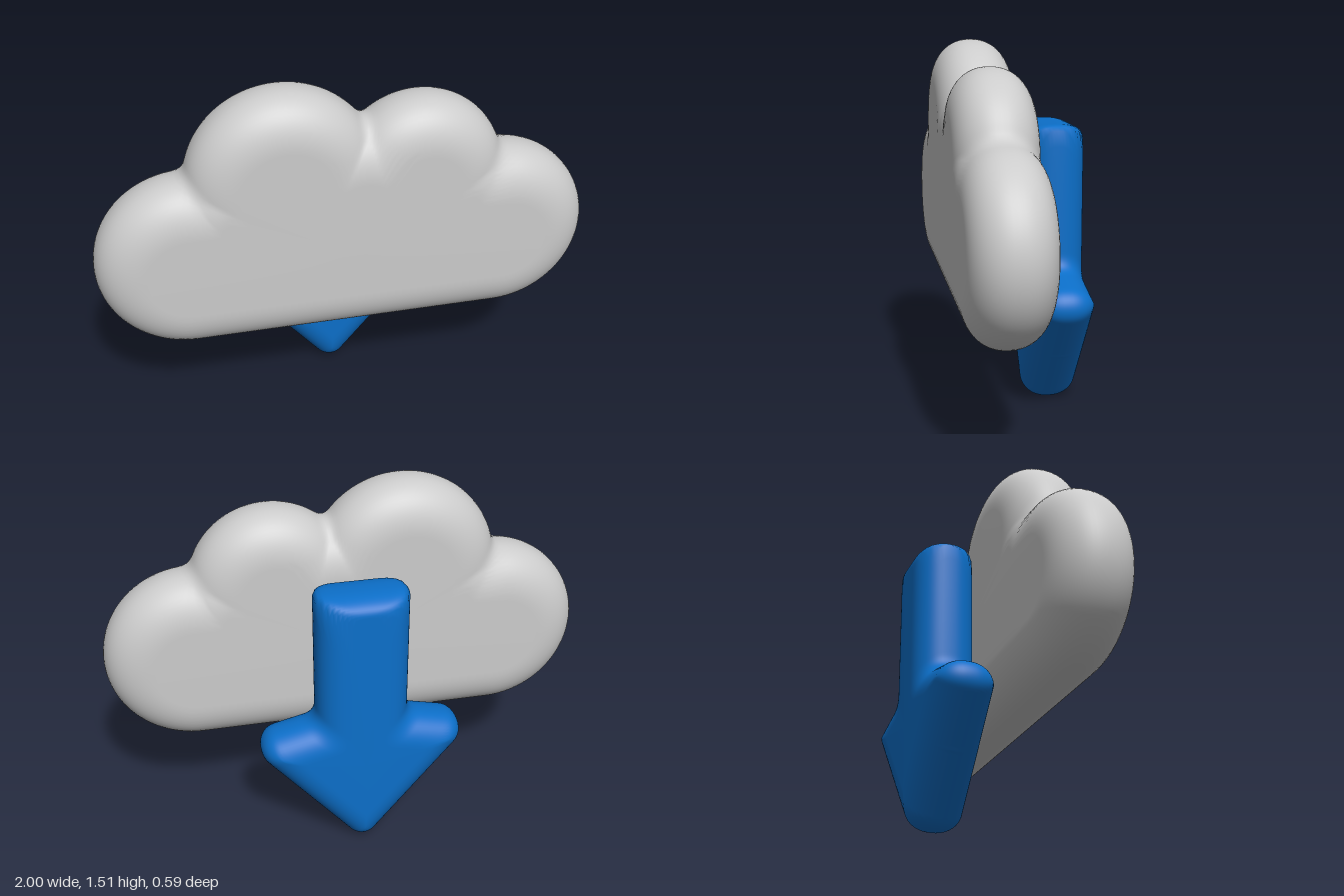
import * as THREE from 'three';

// smooth union / intersection of signed distances
const smin = (a, b, k) => {
  const h = Math.max(k - Math.abs(a - b), 0) / k;
  return Math.min(a, b) - h * h * k / 4;
};
const smax = (a, b, k) => -smin(-a, -b, k);
const circle = (x, y, cx, cy, r) => Math.hypot(x - cx, y - cy) - r;

// signed distance to a polygon
function polygon(x, y, pts) {
  let d = Infinity, s = 1;
  pts.forEach(([ax, ay], i) => {
    const [bx, by] = pts[(i + 1) % pts.length];
    const ex = bx - ax, ey = by - ay, wx = x - ax, wy = y - ay;
    const t = Math.min(1, Math.max(0, (wx * ex + wy * ey) / (ex * ex + ey * ey)));
    d = Math.min(d, Math.hypot(wx - ex * t, wy - ey * t));
    if ((ay > y) !== (by > y) && x < ax + ex * (y - ay) / ey) s = -s;
  });
  return s * d;
}

// cloud outline: long capsule base, two puffs, and inner fillers that keep the face flat
function cloudOutline(x, y) {
  const cx = Math.max(-0.625, Math.min(0.625, x));
  let d = circle(x, y, cx, 0.81, 0.375);
  d = smin(d, circle(x, y, -0.245, 1.13, 0.385), 0.05);
  d = smin(d, circle(x, y, 0.3, 1.1, 0.335), 0.05);
  d = Math.min(d, circle(x, y, 0.05, 1.0, 0.345));
  d = Math.min(d, circle(x, y, -0.45, 0.98, 0.26));
  return Math.min(d, circle(x, y, 0.46, 0.98, 0.26));
}

// arrow outline: rounded head joined to a straight shaft
const HEAD = [[0, 0.08], [0.34, 0.49], [0, 0.57], [-0.34, 0.49]];
function arrowOutline(x, y) {
  const head = polygon(x, y, HEAD) - 0.08;
  const shaft = Math.max(smax(Math.abs(x) - 0.19, (y - 1.19) * 2, 0.06), 0.3 - y);
  return smin(head, shaft, 0.06);
}

// puffy slab: stacked rings of the outline, inset along a rounded edge profile
function puffySlab(outline, cy, halfDepth, bevel, power) {
  const SEG = 280, ROWS = 28, pos = [], index = [];
  const reach = (angle, inset) => {
    let lo = 0, hi = 1.3;
    for (let k = 0; k < 26; k++) {
      const m = (lo + hi) / 2;
      if (outline(m * Math.cos(angle), cy + m * Math.sin(angle)) < -inset) lo = m;
      else hi = m;
    }
    return lo;
  };
  for (let i = 0; i <= ROWS; i++) {
    const a = (i / ROWS - 0.5) * Math.PI;
    const inset = bevel * (1 - Math.pow(Math.max(0, Math.cos(a)), 2 / power));
    const z = Math.sign(a) * halfDepth * Math.pow(Math.abs(Math.sin(a)), 2 / power);
    for (let j = 0; j < SEG; j++) {
      const t = j / SEG * Math.PI * 2, r = reach(t, inset);
      pos.push(r * Math.cos(t), cy + r * Math.sin(t), z);
    }
  }
  const back = pos.length / 3, front = back + 1;
  pos.push(0, cy, -halfDepth, 0, cy, halfDepth);
  for (let j = 0; j < SEG; j++) {
    const n = (j + 1) % SEG;
    for (let i = 0; i < ROWS; i++) {
      const a = i * SEG + j, b = i * SEG + n;
      index.push(a, b, b + SEG, a, b + SEG, a + SEG);
    }
    index.push(back, n, j, front, ROWS * SEG + j, ROWS * SEG + n);
  }
  const g = new THREE.BufferGeometry();
  g.setAttribute('position', new THREE.Float32BufferAttribute(pos, 3));
  g.setIndex(index);
  g.computeVertexNormals();
  return g;
}

export function createModel() {
  const group = new THREE.Group();
  const add = (name, geometry, color, x, z) => {
    const mesh = new THREE.Mesh(geometry, new THREE.MeshStandardMaterial({ color }));
    mesh.name = name;
    mesh.position.set(x, 0, z);
    group.add(mesh);
  };
  add('cloud', puffySlab(cloudOutline, 0.85, 0.165, 0.2, 2.2), 0xcccccc, 0, 0.127);
  add('downArrow', puffySlab(arrowOutline, 0.42, 0.125, 0.13, 2.3), 0x0c6fc9, -0.01, -0.168);
  return group;
}
